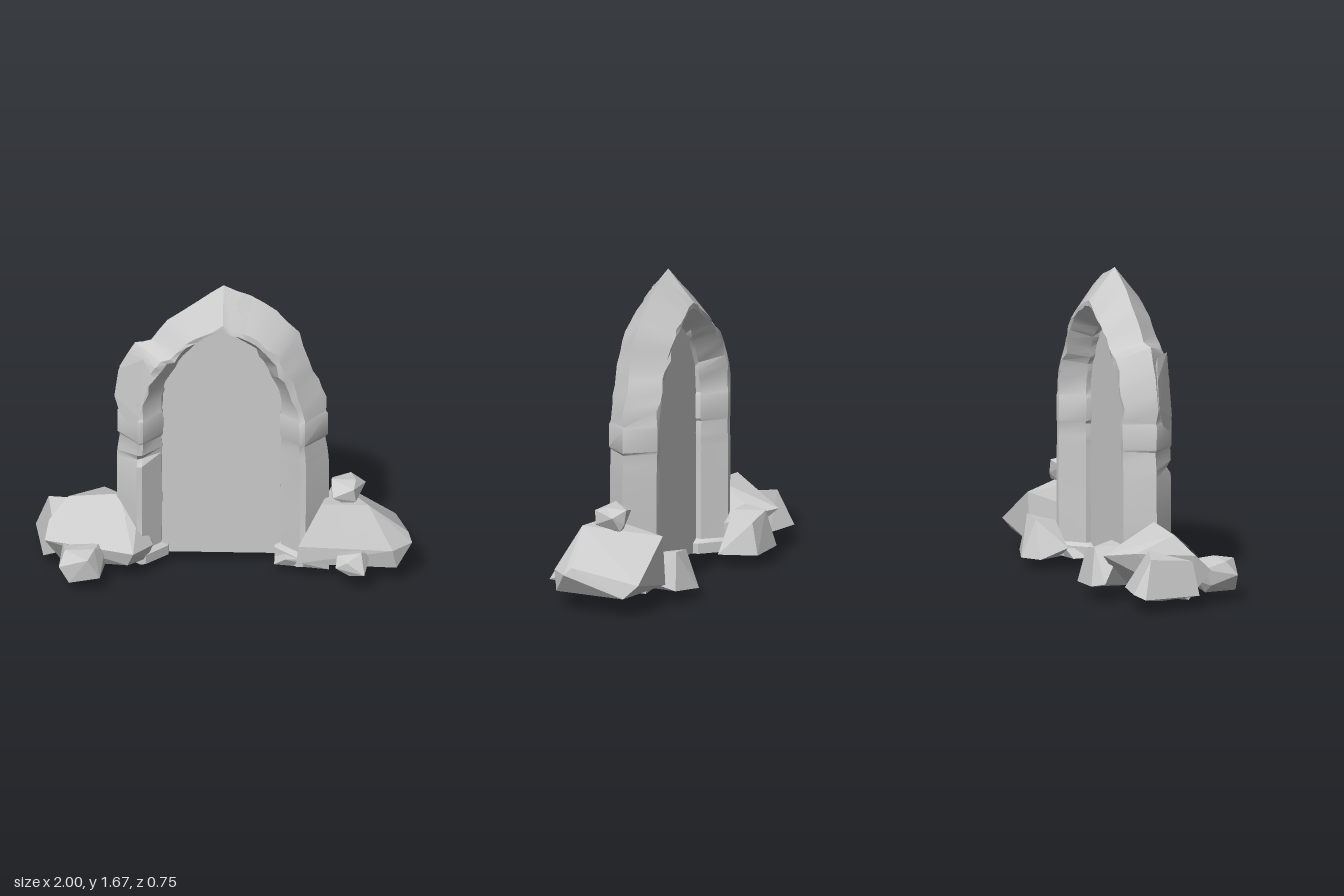
import * as THREE from 'three';
import { toCreasedNormals } from 'three/addons/utils/BufferGeometryUtils.js';
import { ConvexGeometry } from 'three/addons/geometries/ConvexGeometry.js';

const stone = new THREE.MeshStandardMaterial({ color: 0xcccccc });
const thin = new THREE.MeshStandardMaterial({ color: 0xcccccc, side: THREE.DoubleSide });

// Small seeded random source
function seeded(seed) {
  let s = seed * 7919 + 17;
  return () => (s = (s * 16807) % 2147483647) / 2147483647;
}

// Pillar levels: height, inner half width, outer half width
const SHAFT = [
  [0.055, 0.29, 0.565], [0.11, 0.29, 0.565], [0.13, 0.325, 0.565], [0.4, 0.325, 0.565],
  [0.635, 0.325, 0.565], [0.67, 0.325, 0.562], [0.705, 0.325, 0.558], [0.77, 0.33, 0.548],
  [0.785, 0.32, 0.562], [0.91, 0.32, 0.562], [0.925, 0.328, 0.552]
];
// Arch levels: inner x,y, left outer x,y, right outer x,y, inner bevel share, ridge shoulder share
const ARCH = [
  [0.325, 1.0, 0.57, 1.0, 0.54, 1.01, 0.38, 0.52],
  [0.3, 1.1, 0.55, 1.17, 0.5, 1.11, 0.34, 0.48],
  [0.26, 1.19, 0.47, 1.32, 0.45, 1.23, 0.3, 0.45],
  [0.21, 1.26, 0.38, 1.34, 0.4, 1.39, 0.3, 0.42],
  [0.15, 1.325, 0.3, 1.455, 0.28, 1.52, 0.28, 0.38],
  [0.08, 1.38, 0.14, 1.575, 0.14, 1.61, 0.24, 0.34],
  [0, 1.42, 0, 1.67, 0, 1.67, 0.2, 0.32]
];

// Stations of one half, bottom to apex
function halfStations(side) {
  const left = side < 0, k = left ? 1 : 0.93;
  const list = SHAFT.map(([y, a, b]) => ({
    inner: [side * a * k, y], outer: [side * (left ? b : b - 0.01), y],
    f: 0.42, g: 0.54, rough: 0.002,
    swell: y > 0.78 && y < 0.92 ? 0.008 : y < 0.12 ? 0.008 : 0,
    dent: y === 0.67 && left ? 0.035 : 0
  }));
  const rows = [];
  ARCH.forEach((r, i) => {
    rows.push(r);
    if (i < ARCH.length - 1) rows.push(r.map((v, j) => (v + ARCH[i + 1][j]) / 2));
  });
  rows.forEach((r, i) => list.push({
    inner: [side * r[0] * k, r[1]],
    outer: left ? [-r[2], r[3]] : [r[4], r[5]],
    f: r[6], g: r[7], swell: i > 3 ? 0.01 : 0, dent: 0, rough: i < rows.length - 1 ? 0.011 : 0
  }));
  return list;
}

// Loft the bevelled, ridged section up one pillar, over the apex and down the other
function archGeometry(stations) {
  const rnd = seeded(5), pos = [], idx = [], N = 7;
  for (const s of stations) {
    const at = t => s.inner.map((v, i) => v + (s.outer[i] - v) * t);
    const j = () => (rnd() - 0.5) * 2 * s.rough;
    const front = 0.117 + s.swell, back = -0.155 - s.swell * 0.3;
    const ring = [
      [0, 0.01], [s.f, front - s.dent], [s.g, front - s.dent * 0.7], [1, -0.01], [s.g, back], [s.f, back], [0, -0.045]
    ];
    ring.forEach(([t, z], i) => {
      const p = at(t), ridge = i === 3 ? 0.4 : 1;
      pos.push(p[0] + j() * ridge, p[1] + j() * ridge, z + j() * 0.7);
    });
  }
  for (let s = 0; s < stations.length - 1; s++) {
    for (let i = 0; i < N; i++) {
      const a = s * N + i, b = s * N + (i + 1) % N;
      idx.push(b, a, a + N, b, a + N, b + N);
    }
  }
  const e = (stations.length - 1) * N;
  for (let i = 1; i < N - 1; i++) idx.push(0, i, i + 1, e, e + i + 1, e + i);
  const g = new THREE.BufferGeometry();
  g.setAttribute('position', new THREE.Float32BufferAttribute(pos, 3));
  g.setIndex(idx);
  return toCreasedNormals(g, 0.5);
}

export function createModel() {
  const model = new THREE.Group();
  const add = (name, geo, mat = stone) => {
    const m = new THREE.Mesh(geo, mat);
    m.name = name;
    model.add(m);
    return m;
  };
  const hull = (name, pts) => add(name, new ConvexGeometry(pts.map(p => new THREE.Vector3(...p))));

  // Blocky faceted boulder fitted to a box
  const boulder = (name, seed, x0, x1, y0, y1, z0, z1) => {
    const rnd = seeded(seed), pts = [];
    const square = c => Math.sign(c) * Math.abs(c) ** 0.65;
    for (let i = 0; i < 13; i++) {
      const y = 1 - 2 * (i + 0.5) / 13, a = i * 2.4 + rnd() * 0.8, r = Math.sqrt(1 - y * y);
      const v = new THREE.Vector3(square(r * Math.cos(a)), square(y), square(r * Math.sin(a)));
      pts.push(v.multiplyScalar(0.85 + rnd() * 0.3));
    }
    const box = new THREE.Box3().setFromPoints(pts), size = box.getSize(new THREE.Vector3());
    const dim = new THREE.Vector3(x1 - x0, y1 - y0, z1 - z0);
    pts.forEach(p => p.sub(box.min).divide(size).multiply(dim).add(new THREE.Vector3(x0, y0, z0)));
    add(name, new ConvexGeometry(pts));
  };

  // Archway
  const L = halfStations(-1), R = halfStations(1);
  const stations = [...L, ...R.slice(0, -1).reverse()];
  const arch = add('archway', archGeometry(stations));

  // Panel filling the opening
  const outline = stations.map(s =>
    new THREE.Vector2(s.inner[0] * 1.03, Math.max(0.06, s.inner[1] + (s.inner[1] > 1 ? 0.012 : 0))));
  const panel = add('doorPanel', new THREE.ShapeGeometry(new THREE.Shape(outline)), thin);
  panel.position.z = -0.015;

  // Broken facing slab hanging over the sloped side of the left pillar
  const slab = hull('facingSlab', [
    [-0.577, 1.0, 0], [-0.545, 0.91, 0.035], [-0.47, 0.86, 0.105], [-0.44, 0.94, 0.13], [-0.38, 1.2, 0.125],
    [-0.42, 1.28, 0.11], [-0.5, 1.27, 0.02], [-0.555, 1.16, 0], [-0.45, 1.1, 0]
  ]);

  // Large rocks
  const rightRock = hull('rightRock', [
    [0.39, 0.1, 0.17], [0.92, 0.1, 0.2], [0.94, 0.1, -0.2], [0.55, 0.1, -0.26],
    [0.4, 0.2, 0.17], [1.0, 0.21, 0.12], [0.9, 0.21, 0.22], [0.9, 0.17, -0.27],
    [0.52, 0.42, 0.1], [0.77, 0.43, 0.12], [0.58, 0.37, -0.26], [0.98, 0.25, 0.08]
  ]);
  const leftRock = hull('leftRock', [
    [-0.57, 0, -0.03], [-0.85, 0.03, 0.05], [-0.4, 0.08, 0.1], [-0.42, 0.06, -0.15], [-0.5, 0.1, 0.22],
    [-0.94, 0.2, 0.14], [-0.92, 0.28, 0.06], [-0.47, 0.18, 0.25], [-0.37, 0.16, 0.1], [-0.82, 0.38, -0.02],
    [-0.55, 0.4, -0.02], [-0.45, 0.34, 0], [-0.64, 0.26, -0.35], [-0.75, 0.28, -0.21], [-0.42, 0.22, -0.2],
    [-0.53, 0.25, -0.28]
  ]);

  // Stones leaning against the back and outer sides
  hull('leftOuterStone', [
    [-1, 0.08, -0.26], [-0.93, 0.1, -0.3], [-0.72, 0.1, -0.26], [-0.95, 0.07, 0.07], [-0.82, 0.03, -0.1],
    [-0.93, 0.28, -0.2], [-0.78, 0.3, -0.15], [-0.9, 0.25, 0.05], [-0.7, 0.1, 0]
  ]);
  hull('leftBackStone', [
    [-0.62, 0.1, -0.33], [-0.55, 0.08, -0.38], [-0.34, 0.07, -0.37], [-0.27, 0.07, -0.17], [-0.45, 0.05, -0.12],
    [-0.5, 0.28, -0.34], [-0.36, 0.24, -0.33], [-0.4, 0.29, -0.2], [-0.55, 0.29, -0.2]
  ]);
  hull('rightBackStone', [
    [0.25, 0.12, -0.17], [0.29, 0.06, -0.31], [0.39, 0.06, -0.38], [0.55, 0.07, -0.32], [0.56, 0.1, -0.2],
    [0.43, 0.04, -0.14], [0.38, 0.26, -0.3], [0.5, 0.27, -0.3], [0.42, 0.24, -0.17]
  ]);
  hull('rightFootStone', [
    [0.27, 0.055, 0.1], [0.27, 0.055, -0.13], [0.41, 0.02, 0.03], [0.56, 0.04, 0.12], [0.56, 0.04, -0.15],
    [0.33, 0.1, 0.13], [0.56, 0.11, 0.13], [0.33, 0.1, -0.15], [0.56, 0.11, -0.17]
  ]);

  // Smaller stones
  boulder('rightTopStone', 3, 0.57, 0.75, 0.39, 0.53, -0.09, 0.1);
  boulder('rightFrontStone', 4, 0.6, 0.78, 0.08, 0.21, 0.12, 0.32);
  boulder('leftFrontStone', 9, -0.86, -0.62, 0.05, 0.22, 0.12, 0.37);

  // Flat lobed lichen patches laid on the surface found along a ray
  const ray = new THREE.Raycaster(), down = new THREE.Vector3(0, -1, 0), inward = new THREE.Vector3(0, 0, -1);
  const lichen = (target, from, dir, r, turn) => {
    ray.set(new THREE.Vector3(...from), dir);
    const hit = ray.intersectObject(target)[0];
    if (!hit) return;
    const pts = [];
    for (let i = 0; i < 60; i++) {
      const a = i / 60 * Math.PI * 2;
      const q = r * (0.45 + 0.55 * Math.sqrt(Math.abs(Math.cos(2.5 * a)))) * (1 + 0.12 * Math.sin(2 * a));
      pts.push(new THREE.Vector2(q * Math.cos(a + turn), q * Math.sin(a + turn)));
    }
    const m = add('lichenPatch', new THREE.ShapeGeometry(new THREE.Shape(pts)), thin);
    m.position.copy(hit.point).addScaledVector(hit.face.normal, 0.006);
    m.quaternion.setFromUnitVectors(new THREE.Vector3(0, 0, 1), hit.face.normal);
  };
  [[-0.82, 0.07], [-0.72, 0.12], [-0.62, 0.11], [-0.68, 0.04], [-0.78, 0.13], [-0.58, 0.07]]
    .forEach(([x, z], i) => lichen(leftRock, [x, 2, z], down, 0.06, i));
  [[0.57, 0.32], [0.69, 0.35]].forEach(([x, y], i) => lichen(rightRock, [x, y, 2], inward, 0.065, i * 2));
  lichen(arch, [0.11, 1.575, 2], inward, 0.05, 0.4);
  lichen(slab, [-0.475, 1.14, 2], inward, 0.06, 1);
  lichen(slab, [-0.5, 1.06, 2], inward, 0.045, 0);

  return model;
}
